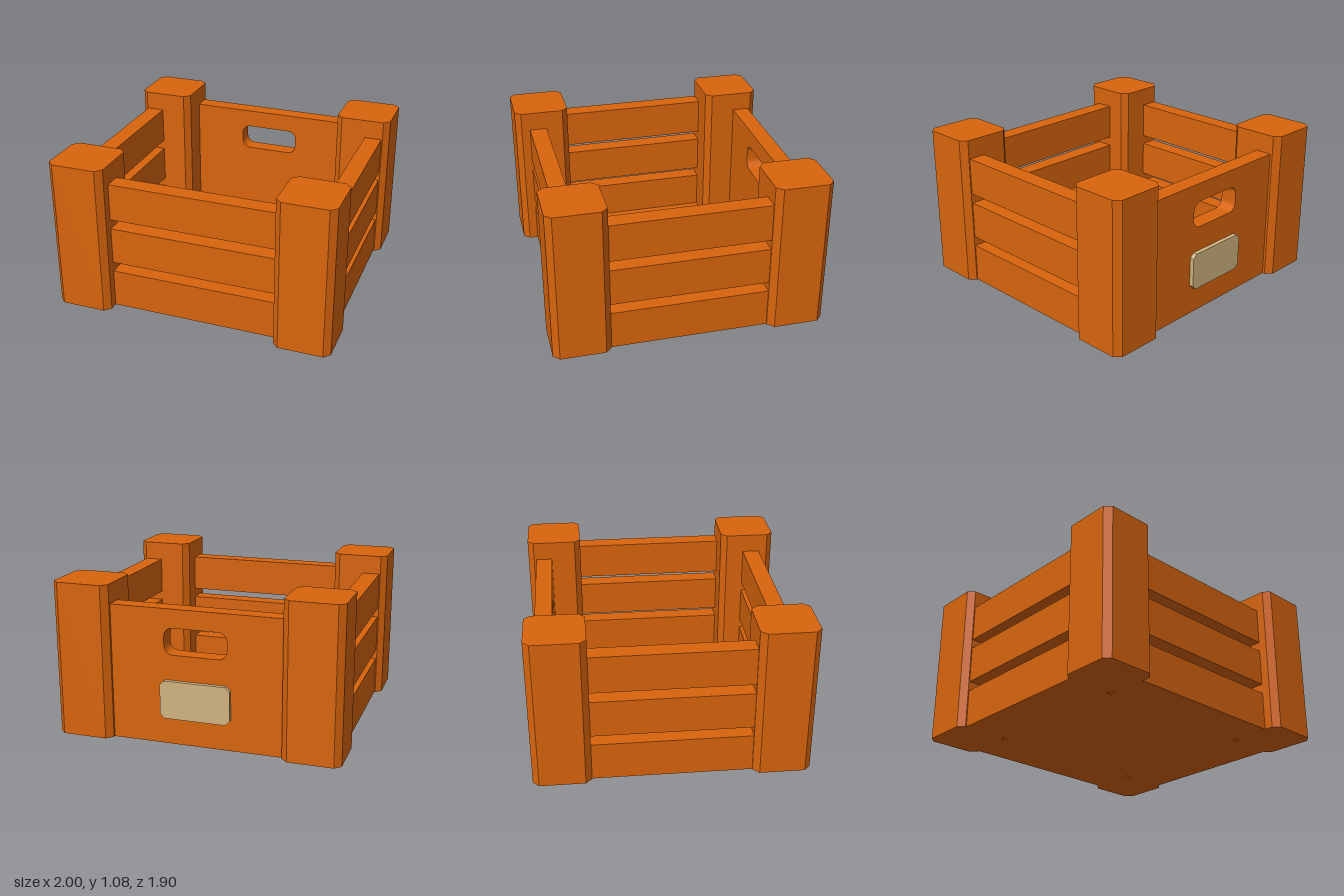
import * as THREE from 'three';

const POST_HEIGHT = 1.08;
const SLAT_HEIGHT = 0.265;
const SLAT_BOTTOMS = [0.01, 0.345, 0.68];

// Rectangle with its four corners cut off, centred on (cx, cy)
function chamferedRect(w, h, c, cx = 0, cy = 0) {
  const x = w / 2, y = h / 2;
  const points = [
    [-x + c, -y], [x - c, -y], [x, -y + c], [x, y - c],
    [x - c, y], [-x + c, y], [-x, y - c], [-x, -y + c],
  ];
  return new THREE.Shape(points.map(([px, py]) => new THREE.Vector2(px + cx, py + cy)));
}

// Rounded slot used as the hand hole
function roundedSlot(x0, x1, y0, y1, r) {
  const p = new THREE.Path();
  p.absarc(x1 - r, y0 + r, r, -Math.PI / 2, 0);
  p.absarc(x1 - r, y1 - r, r, 0, Math.PI / 2);
  p.absarc(x0 + r, y1 - r, r, Math.PI / 2, Math.PI);
  p.absarc(x0 + r, y0 + r, r, Math.PI, Math.PI * 1.5);
  p.closePath();
  return p;
}

export function createModel() {
  const crate = new THREE.Group();
  crate.name = 'crate';

  const wood = new THREE.MeshStandardMaterial({ color: 0xd8640d });
  wood.name = 'orange wood';
  const tan = new THREE.MeshStandardMaterial({ color: 0xd2b480 });
  tan.name = 'tan label';

  const add = (name, geometry, material, x = 0, y = 0, z = 0) => {
    const mesh = new THREE.Mesh(geometry, material);
    mesh.name = name;
    mesh.position.set(x, y, z);
    crate.add(mesh);
    return mesh;
  };
  const extrude = (shape, depth) =>
    new THREE.ExtrudeGeometry(shape, { depth, bevelEnabled: false, curveSegments: 2 });

  // Corner posts with chamfered vertical edges
  const post = extrude(chamferedRect(0.4, 0.4, 0.043), POST_HEIGHT).rotateX(-Math.PI / 2);
  for (const [side, sx] of [['left', 1], ['right', -1]]) {
    add(`${side}FrontPost`, post, wood, sx * 0.8, 0, 0.75);
    add(`${side}BackPost`, post, wood, sx * 0.8, 0, -0.75);
  }

  // Three slats on the front and on each side
  const frontSlat = new THREE.BoxGeometry(1.2, SLAT_HEIGHT, 0.125);
  const sideSlat = new THREE.BoxGeometry(0.125, SLAT_HEIGHT, 1.1);
  SLAT_BOTTOMS.forEach((bottom, i) => {
    const y = bottom + SLAT_HEIGHT / 2;
    add(`frontSlat${i + 1}`, frontSlat, wood, 0, y, 0.7825);
    add(`leftSlat${i + 1}`, sideSlat, wood, 0.8875, y, 0);
    add(`rightSlat${i + 1}`, sideSlat, wood, -0.8875, y, 0);
  });

  // Solid back panel with a hand hole
  const panel = new THREE.Shape([
    new THREE.Vector2(-0.6, 0.01), new THREE.Vector2(0.6, 0.01),
    new THREE.Vector2(0.6, 0.945), new THREE.Vector2(-0.6, 0.945),
  ]);
  panel.holes.push(roundedSlot(-0.22, 0.22, 0.63, 0.815, 0.06));
  add('backPanel', extrude(panel, 0.12), wood, 0, 0, -0.89);

  // Label plate on the outside of the back panel
  add('labelPlate', extrude(chamferedRect(0.49, 0.265, 0.03, 0, 0.322), 0.03), tan, 0, 0, -0.92);

  // Floor: a cross of two thin boards between the posts
  add('floorCentre', new THREE.BoxGeometry(1.2, 0.01, 1.735), wood, 0, 0.005, -0.0225);
  for (const [side, sx] of [['left', 1], ['right', -1]]) {
    add(`${side}Floor`, new THREE.BoxGeometry(0.35, 0.01, 1.1), wood, sx * 0.775, 0.005, 0);
  }

  return crate;
}
